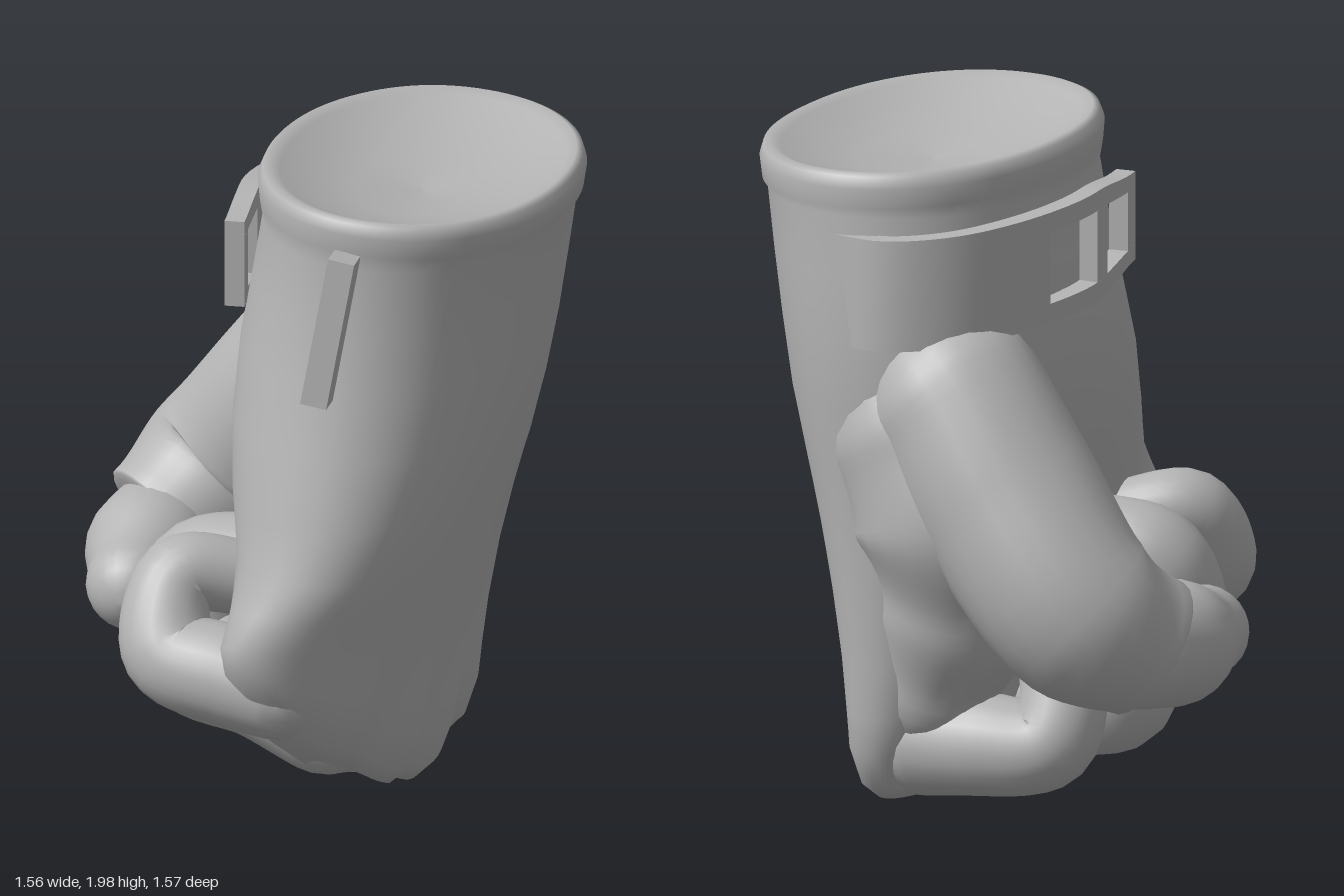
import * as THREE from 'three';
import { mergeGeometries } from 'three/addons/utils/BufferGeometryUtils.js';

// Skin a stack of closed rings (arrays of Vector3 with equal counts).
function loft(rings) {
  const n = rings[0].length, pos = [], idx = [];
  rings.forEach(r => r.forEach(p => pos.push(p.x, p.y, p.z)));
  for (let i = 0; i < rings.length - 1; i++)
    for (let j = 0; j < n; j++) {
      const a = i * n + j, b = i * n + (j + 1) % n;
      idx.push(a, a + n, b, b, a + n, b + n);
    }
  const g = new THREE.BufferGeometry();
  g.setAttribute('position', new THREE.Float32BufferAttribute(pos, 3));
  g.setIndex(idx);
  g.computeVertexNormals();
  return g;
}

// Rounded limb through [x, y, z, radius] points; endFlat squashes the far dome.
function limb(points, endFlat = 1, sides = 24) {
  const curve = new THREE.CatmullRomCurve3(points.map(p => new THREE.Vector3(p[0], p[1], p[2])));
  const last = points.length - 1, steps = last * 8, rings = [];
  let normal = new THREE.Vector3(0.13, 0.2, 1);
  const ring = (c, t, r, shift) => {
    normal = normal.clone().addScaledVector(t, -normal.dot(t)).normalize();
    const side = new THREE.Vector3().crossVectors(t, normal);
    rings.push(Array.from({ length: sides }, (_, j) => {
      const a = -j / sides * Math.PI * 2;
      return c.clone().addScaledVector(t, shift)
        .addScaledVector(normal, r * Math.cos(a)).addScaledVector(side, r * Math.sin(a));
    }));
  };
  const radius = u => {
    const f = u * last, i = Math.min(Math.floor(f), last - 1);
    return THREE.MathUtils.lerp(points[i][3], points[i + 1][3], THREE.MathUtils.smoothstep(f - i, 0, 1));
  };
  const dome = (u, dir, flat) => {
    for (let k = 0; k < 6; k++) {
      const a = (dir < 0 ? 6 - k : k + 1) / 6 * Math.PI / 2, r = radius(u);
      ring(curve.getPoint(u), curve.getTangent(u), r * Math.max(Math.cos(a), 0.001), dir * flat * r * Math.sin(a));
    }
  };
  dome(0, -1, 1);
  for (let i = 0; i <= steps; i++) ring(curve.getPoint(i / steps), curve.getTangent(i / steps), radius(i / steps), 0);
  dome(1, 1, endFlat);
  return loft(rings);
}

// Hand, wrist and cuff: [y, xMin, xMax, zMin, zMax, squareness]
const SECTIONS = [
  [0.04, 0.2, 0.21, -0.3, 0.3, 2],
  [0.02, 0.12, 0.33, -0.5, 0.56, 2.2],
  [0.07, 0.05, 0.38, -0.575, 0.67, 2.2],
  [0.18, 0.0, 0.42, -0.62, 0.745, 2.2],
  [0.3, -0.05, 0.44, -0.635, 0.78, 2.2],
  [0.45, -0.08, 0.465, -0.64, 0.775, 2.2],
  [0.65, -0.1, 0.505, -0.645, 0.75, 2.2],
  [0.85, -0.13, 0.555, -0.65, 0.71, 2.2],
  [1.05, -0.17, 0.61, -0.66, 0.665, 2.2],
  [1.25, -0.19, 0.655, -0.675, 0.61, 2.2],
  [1.45, -0.19, 0.695, -0.68, 0.555, 2.1],
  [1.65, -0.16, 0.725, -0.67, 0.52, 2.1],
  [1.84, -0.13, 0.755, -0.655, 0.505, 2.1],
  [1.88, -0.14, 0.775, -0.66, 0.515, 2.1],
  [1.94, -0.145, 0.785, -0.662, 0.52, 2.1],
  [1.975, -0.13, 0.775, -0.65, 0.51, 2.1],
  [1.985, -0.11, 0.755, -0.63, 0.49, 2.1],
  [1.97, -0.08, 0.725, -0.6, 0.46, 2.1],
  [1.93, 0.0, 0.64, -0.49, 0.35, 2.1],
  [1.89, 0.12, 0.52, -0.33, 0.19, 2],
  [1.87, 0.319, 0.321, -0.071, -0.069, 2]
];

// Grooves between the knuckles on the back of the hand: [z, depth, width]
const GROOVES = [[-0.22, 0.06, 0.08], [0.14, 0.025, 0.05], [0.43, 0.025, 0.05]];

function handBody() {
  const sides = 96;
  return loft(SECTIONS.map(([y, x0, x1, z0, z1, n]) =>
    Array.from({ length: sides }, (_, j) => {
      const a = j / sides * Math.PI * 2, c = Math.cos(a), s = Math.sin(a);
      const x = (x0 + x1) / 2 + (x1 - x0) / 2 * Math.sign(c) * Math.abs(c) ** (2 / n);
      const z = (z0 + z1) / 2 + (z1 - z0) / 2 * Math.sign(s) * Math.abs(s) ** (2 / n);
      const groove = c > 0 && y < 1.2 ? GROOVES.reduce((sum, [gz, depth, width], i) =>
        sum + depth * Math.exp(-(((z - gz) / width) ** 2))
          * (1 - THREE.MathUtils.smoothstep(y, 0.2, i ? 0.55 : 1.15)), 0) * Math.min(1, c * 2) : 0;
      // The knuckle line climbs and turns inward toward the little finger
      const low = Math.max(0, 1 - y / 0.95);
      const climb = 0.43 * (Math.max(z, 0) / 0.75) ** 1.6 * low;
      const turn = 0.3 * Math.max(0, z - 0.4) * Math.min(1, low * 2);
      // The cuff opening slopes slightly
      const tilt = y > 1.86 ? 0.025 * z - 0.03 * (x - 0.32) : 0;
      return new THREE.Vector3(x - groove - turn, y + climb + tilt + groove * 0.6, z);
    })));
}

// Fingers: knuckle, mid segment, middle joint, end joint, tip
const FINGERS = {
  littleFinger: [[0.1, 0.5, 0.575, 0.16], [-0.06, 0.52, 0.585, 0.15], [-0.24, 0.56, 0.565, 0.145], [-0.26, 0.75, 0.45, 0.12], [-0.05, 0.72, 0.32, 0.11]],
  ringFinger: [[0.15, 0.31, 0.3, 0.18], [-0.05, 0.39, 0.3, 0.175], [-0.28, 0.44, 0.28, 0.17], [-0.29, 0.65, 0.2, 0.16], [-0.05, 0.72, 0.13, 0.14]],
  middleFinger: [[0.17, 0.2, -0.02, 0.18], [-0.04, 0.26, -0.01, 0.175], [-0.29, 0.3, 0, 0.165], [-0.28, 0.52, -0.04, 0.15], [-0.03, 0.6, -0.05, 0.13]],
  indexFinger: [[0.13, 0.2, -0.42, 0.17], [-0.06, 0.21, -0.42, 0.155], [-0.28, 0.24, -0.38, 0.135], [-0.25, 0.46, -0.28, 0.13], [-0.02, 0.55, -0.24, 0.12]]
};

// Strap: flat blocks [start, end, yLow, yHigh] bent round the wrist
const STRAP = [
  [0, 0.58, -0.17, 0.17],
  [0.58, 1, 0.11, 0.17],
  [0.58, 1, -0.17, -0.11],
  [0.76, 0.82, -0.11, 0.11],
  [0.95, 1, -0.11, 0.11]
];

function strapBand() {
  const path = new THREE.CatmullRomCurve3(
    [[0.3, -0.63], [0.12, -0.66], [-0.04, -0.56], [-0.15, -0.36], [-0.205, -0.1], [-0.185, 0.08], [-0.155, 0.25]]
      .map(([x, z]) => new THREE.Vector3(x, 0, z)));
  return mergeGeometries(STRAP.map(([s0, s1, y0, y1]) => {
    const g = new THREE.BoxGeometry(s1 - s0, y1 - y0, 0.06, Math.ceil((s1 - s0) * 30), 1, 1);
    g.translate((s0 + s1) / 2, (y0 + y1) / 2, 0);
    const p = g.attributes.position;
    for (let i = 0; i < p.count; i++) {
      const s = THREE.MathUtils.clamp(p.getX(i), 0, 1), d = p.getZ(i);
      const c = path.getPointAt(s), t = path.getTangentAt(s);
      // Rises toward the front, then narrows at the loose end
      const y = p.getY(i) * (1 - 0.2 * THREE.MathUtils.smoothstep(s, 0.75, 1));
      p.setXYZ(i, c.x - t.z * d, 1.61 + 0.08 * s + y, c.z + t.x * d);
    }
    g.computeVertexNormals();
    return g;
  }));
}

export function createModel() {
  const model = new THREE.Group();
  model.name = 'glove';
  const leather = new THREE.MeshStandardMaterial({ color: 0xb4b4b4, side: THREE.DoubleSide });
  leather.name = 'grey leather';
  const add = (name, geometry) => {
    const m = new THREE.Mesh(geometry, leather);
    m.name = name;
    model.add(m);
    return m;
  };

  add('handAndCuff', handBody());
  for (const [name, points] of Object.entries(FINGERS)) add(name, limb(points));

  // Thumb: thick sleeve from the wrist, and the tip emerging from it
  add('thumbBase', limb([
    [0.2, 1.42, -0.42, 0.18], [0.0, 1.27, -0.46, 0.27], [-0.19, 1.01, -0.49, 0.285],
    [-0.45, 0.7, -0.5, 0.27], [-0.585, 0.56, -0.33, 0.22]], 0.12));
  add('thumbTip', limb([
    [-0.57, 0.56, -0.36, 0.18], [-0.58, 0.54, -0.18, 0.19], [-0.555, 0.52, 0.03, 0.14]]));
  // Fleshy web joining the thumb to the side of the palm
  add('thumbWeb', limb([
    [0.25, 1.4, -0.4, 0.23], [0.12, 1.15, -0.41, 0.31], [0.0, 0.9, -0.42, 0.33],
    [0.02, 0.62, -0.42, 0.25], [0.1, 0.36, -0.42, 0.19]]));

  // Wrist strap and its loose end on the front
  add('wristStrap', strapBand());
  const tab = add('strapTab', new THREE.BoxGeometry(0.08, 0.46, 0.1));
  tab.position.set(0.272, 1.675, 0.59);
  tab.rotation.set(-0.1, 0.15, -0.15);

  return model;
}
